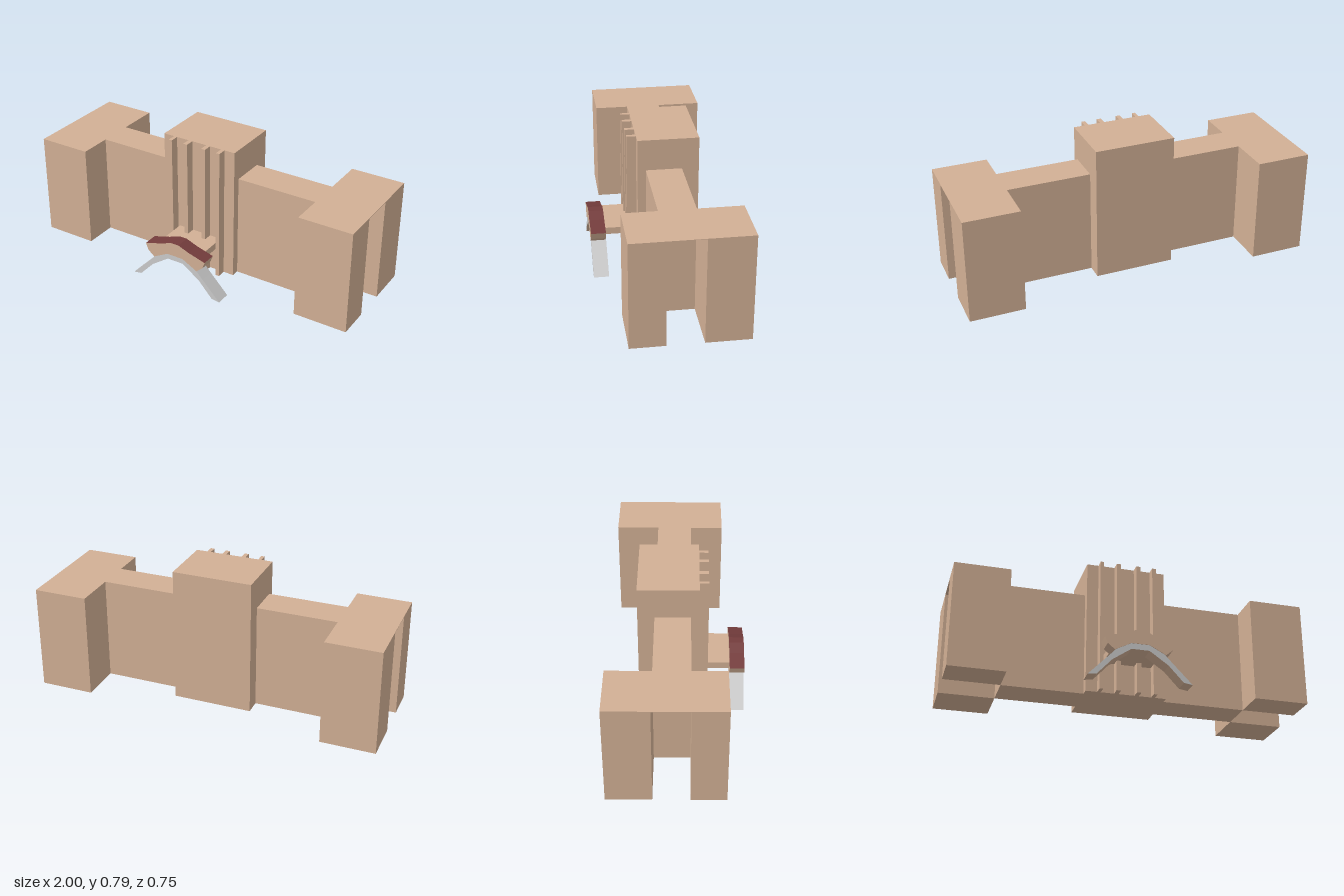
import * as THREE from 'three';

const material = (color) => new THREE.MeshStandardMaterial({ color, flatShading: true, side: THREE.DoubleSide });
const stone = material(0xd2b095);
const roofRed = material(0x743c3c);
const grey = material(0xcccccc);

// Box given by its limits on each axis
function block(name, [x0, x1], [y0, y1], [z0, z1]) {
  const geometry = new THREE.BoxGeometry(x1 - x0, y1 - y0, z1 - z0);
  geometry.translate((x0 + x1) / 2, (y0 + y1) / 2, (z0 + z1) / 2);
  const mesh = new THREE.Mesh(geometry, stone);
  mesh.name = name;
  return mesh;
}

// Symmetric outline: the right half of the upper edge, then of the lower edge,
// both listed from the middle outwards
function outline(upper, lower) {
  const mirror = (pts) => pts.map(([x, y]) => [-x, y]);
  const pts = [
    ...mirror(upper).reverse(), ...upper,
    ...[...lower].reverse(), ...mirror(lower),
  ];
  return new THREE.Shape(pts.map(([x, y]) => new THREE.Vector2(x, y)));
}

// Extruded outline whose faces are painted by the direction they look in
function paintedPrism(name, shape, z0, z1, accent, isAccent) {
  const geometry = new THREE.ExtrudeGeometry(shape, { depth: z1 - z0, bevelEnabled: false });
  geometry.translate(0, 0, z0);
  geometry.clearGroups();
  const normals = geometry.attributes.normal;
  const n = new THREE.Vector3();
  for (let i = 0; i < normals.count; i += 3) {
    n.fromBufferAttribute(normals, i);
    geometry.addGroup(i, 3, isAccent(n) ? 1 : 0);
  }
  const mesh = new THREE.Mesh(geometry, [stone, accent]);
  mesh.name = name;
  return mesh;
}

export function createModel() {
  const model = new THREE.Group();
  model.name = 'building';
  const base = 0.012, wingTop = 0.613, towerTop = 0.79;
  const span = (side, a, b) => (side > 0 ? [a, b] : [-b, -a]);

  // Central tower with four vertical fins on the front
  model.add(block('centralTower', [-0.235, 0.22], [base, towerTop], [-0.223, 0.113]));
  for (const [x0, x1] of [[-0.17, -0.15], [-0.075, -0.05], [0.04, 0.065], [0.135, 0.157]]) {
    model.add(block('facadeFin', [x0, x1], [base, towerTop], [0.113, 0.165]));
  }

  // Side wings: corridor, two end blocks with an open passage between, thin roof over it
  for (const side of [1, -1]) {
    const wing = new THREE.Group();
    wing.name = side > 0 ? 'leftWing' : 'rightWing';
    const end = span(side, 0.69, 1);
    wing.add(
      block('corridor', span(side, 0.22, 0.69), [base, wingTop], [-0.13, 0.068]),
      block('frontBlock', end, [base, wingTop], [0.068, 0.257]),
      block('rearBlock', end, [base, wingTop], [-0.375, -0.13]),
      block('passageRoof', end, [wingTop - 0.003, wingTop], [-0.13, 0.068]),
    );
    model.add(wing);
  }

  // Entrance: slab, pediment with a red top, grey arch beneath
  const entrance = new THREE.Group();
  entrance.name = 'entrance';
  entrance.add(block('canopySlab', [-0.14, 0.135], [0.187, 0.227], [0.113, 0.3]));

  const archTop = [[0.05, 0.203], [0.135, 0.158]];
  const pediment = outline(
    [[0.025, 0.282], [0.09, 0.257], [0.195, 0.227], [0.18, 0.187], [0.14, 0.154]],
    archTop,
  );
  entrance.add(paintedPrism('pediment', pediment, 0.289, 0.373, roofRed, (n) => n.y > 0.5));

  const arch = outline(
    [...archTop, [0.18, 0.11], [0.287, 0]],
    [[0.05, 0.17], [0.155, 0.097], [0.238, 0.007]],
  );
  entrance.add(paintedPrism('entranceArch', arch, 0.285, 0.37, grey, (n) => n.y > 0.1 || n.z > 0.5));
  model.add(entrance);

  return model;
}
